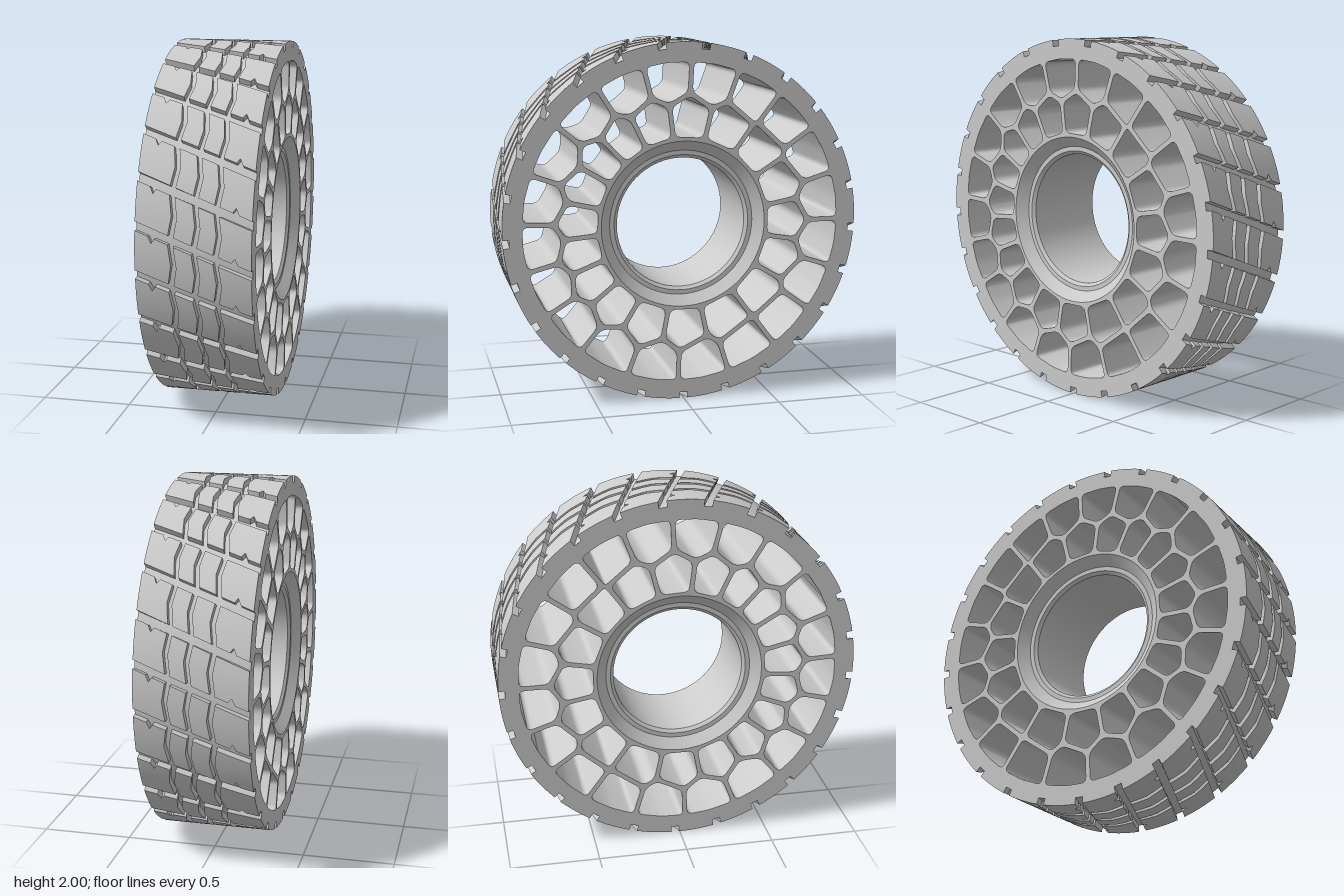
import * as THREE from 'three';
import { toCreasedNormals } from 'three/addons/utils/BufferGeometryUtils.js';

const WIDTH = 0.6, BASE_R = 0.965, HUB_R = 0.463, WALL = 0.013;
const BLOCKS = 25, PITCH = (Math.PI * 2) / BLOCKS;

// Seed angles (degrees, clockwise from the top) of the two rings of web cells
const INNER = [3, 25, 47, 69, 90, 110, 132, 156, 180, 201, 222, 240, 257, 274, 292, 309, 325, 343];
const OUTER = [11.5, 29, 46, 64, 82, 99, 117, 134, 153, 173, 191, 211, 230, 247, 264, 281, 299, 319, 337, 354];

const polar = (deg, r) => {
  const a = THREE.MathUtils.degToRad(deg);
  return new THREE.Vector2(Math.sin(a) * r, Math.cos(a) * r);
};

// Keep the side of a convex polygon where n . p <= d
function clip(poly, n, d) {
  const out = [];
  poly.forEach((p, i) => {
    const q = poly[(i + 1) % poly.length];
    const dp = n.dot(p) - d, dq = n.dot(q) - d;
    if (dp <= 0) out.push(p);
    if (dp * dq < 0) out.push(p.clone().lerp(q, dp / (dp - dq)));
  });
  return out;
}

// Closed path with rounded corners
function roundedPath(poly, r) {
  const path = new THREE.Path();
  const n = poly.length;
  poly.forEach((c, i) => {
    const cut = (other) => c.clone().lerp(other, Math.min(0.45, r / c.distanceTo(other)));
    const a = cut(poly[(i + n - 1) % n]), b = cut(poly[(i + 1) % n]);
    if (i === 0) path.moveTo(a.x, a.y); else path.lineTo(a.x, a.y);
    path.quadraticCurveTo(c.x, c.y, b.x, b.y);
  });
  path.closePath();
  return path;
}

// Cell openings: regions nearest each seed, shrunk by half a wall
function cellPaths() {
  const seeds = [
    ...INNER.map((deg) => ({ deg, p: polar(deg, 0.59) })),
    ...OUTER.map((deg) => ({ deg, p: polar(deg, 0.79) })),
  ];
  return seeds.map((s) => {
    let poly = [[-2, -2], [2, -2], [2, 2], [-2, 2]].map(([x, y]) => new THREE.Vector2(x, y));
    for (const o of seeds) {
      if (o === s) continue;
      const n = o.p.clone().sub(s.p).normalize();
      const mid = o.p.clone().add(s.p).multiplyScalar(0.5);
      poly = clip(poly, n, n.dot(mid) - WALL);
    }
    poly = clip(poly, polar(s.deg, -1), -0.482);
    for (const t of [-5, 5]) poly = clip(poly, polar(s.deg + t, 1), 0.89);
    return roundedPath(poly, 0.032);
  });
}

function circlePoints(r, count) {
  return Array.from({ length: count }, (_, i) => polar((-i * 360) / count, r));
}

// One tread block: a box wrapped onto the wheel, with chevron sides and slanted ends
function blockGeometry(rib, centre) {
  const geo = new THREE.BoxGeometry(1, 1, 1, 10, 1, 6);
  const pos = geo.attributes.position;
  for (let i = 0; i < pos.count; i++) {
    const u = pos.getX(i), v = -pos.getZ(i);
    const r = pos.getY(i) > 0 ? 1 : BASE_R - 0.006;
    const bulge = 0.016 * (1 - 2 * Math.abs(v));
    const x0 = rib.from + (rib.from > -0.3 ? bulge : 0);
    const x1 = rib.to + (rib.to < 0.3 ? bulge : 0);
    const x = x0 + (x1 - x0) * (u + 0.5);
    let a = centre + (0.225 * (0.3 - x)) / WIDTH + v * (PITCH - 0.046);
    // Small V nick in one end of the shoulder blocks
    if (rib.nick && Math.abs(u) < 0.01 && Math.abs(v - rib.nick * 0.5) < 0.01) a -= rib.nick * 0.03;
    pos.setXYZ(i, x, r * Math.cos(a), -r * Math.sin(a));
  }
  return toCreasedNormals(geo, 0.4);
}

export function createModel() {
  const model = new THREE.Group();
  model.name = 'airlessWheel';
  const wheel = new THREE.Group();
  wheel.name = 'wheel';
  wheel.position.y = 1;
  model.add(wheel);
  const material = new THREE.MeshStandardMaterial({ color: 0xcccccc });
  const add = (parent, name, geometry) => {
    const mesh = new THREE.Mesh(geometry, material);
    mesh.name = name;
    parent.add(mesh);
    return mesh;
  };

  // Cellular web together with the tread base ring
  const shape = new THREE.Shape(circlePoints(BASE_R, 150));
  shape.holes.push(new THREE.Path(circlePoints(HUB_R, 72)), ...cellPaths());
  const web = new THREE.ExtrudeGeometry(shape, { depth: WIDTH, bevelEnabled: false, curveSegments: 5 });
  web.translate(0, 0, -WIDTH / 2);
  web.rotateY(Math.PI / 2);
  add(wheel, 'cellularWeb', toCreasedNormals(web, 0.5));

  // Hub sleeve: conical recess, flat step, small bevel and bore, mirrored
  const half = [[HUB_R, 0.3], [0.407, 0.25], [0.382, 0.25], [0.364, 0.235]];
  const profile = [...half, ...half.map(([r, y]) => [r, -y]).reverse()];
  const hub = new THREE.LatheGeometry(profile.map(([r, y]) => new THREE.Vector2(r, y)), 72);
  hub.rotateZ(-Math.PI / 2);
  add(wheel, 'hubSleeve', toCreasedNormals(hub, 0.4));

  // Four ribs of tread blocks
  const ribs = [
    { name: 'rightShoulder', from: -0.3, to: -0.128, nick: 1 },
    { name: 'rightCentre', from: -0.1, to: -0.006 },
    { name: 'leftCentre', from: 0.021, to: 0.105 },
    { name: 'leftShoulder', from: 0.131, to: 0.3, nick: -1 },
  ];
  for (const rib of ribs) {
    const group = new THREE.Group();
    group.name = rib.name + 'Tread';
    wheel.add(group);
    for (let k = 0; k < BLOCKS; k++) add(group, rib.name + 'Block', blockGeometry(rib, k * PITCH));
  }
  return model;
}
